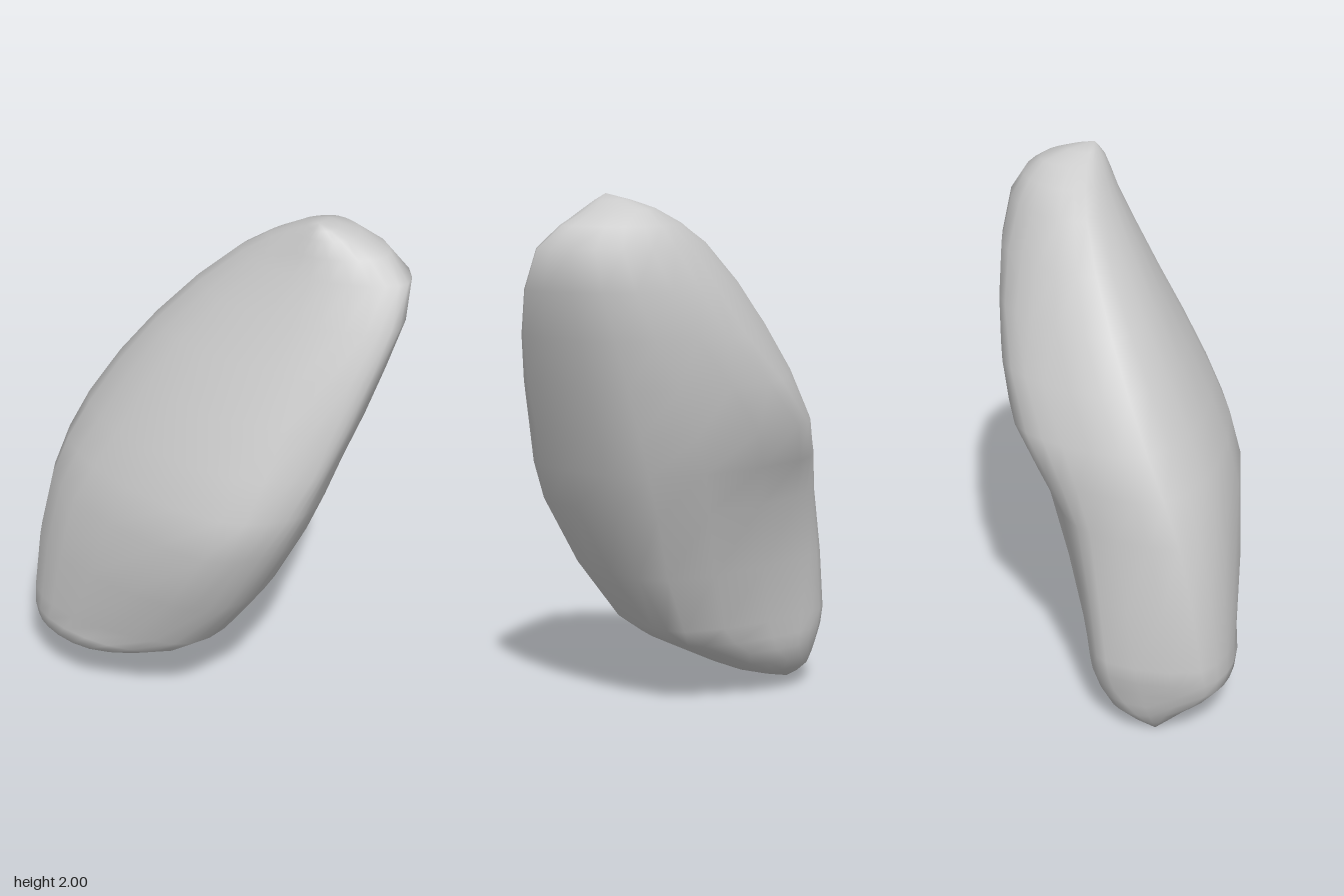
import * as THREE from 'three';

// Cross-sections from bottom to top: height, then eight x,z points
// running from the left side (+x) round the front, right side and back.
const SECTIONS = [
  [0.09, -0.29, -0.07, -0.36, 0.04, -0.50, 0.09, -0.60, 0.07, -0.65, 0.00, -0.61, -0.14, -0.52, -0.205, -0.36, -0.17],
  [0.20, -0.07, 0.02, -0.16, 0.23, -0.40, 0.305, -0.62, 0.22, -0.715, 0.09, -0.58, -0.22, -0.42, -0.26, -0.12, -0.14],
  [0.33, 0.13, 0.08, 0.04, 0.30, -0.20, 0.34, -0.58, 0.25, -0.735, 0.07, -0.58, -0.25, -0.42, -0.275, 0.09, -0.12],
  [0.83, 0.415, 0.27, 0.34, 0.385, 0.15, 0.475, -0.47, 0.25, -0.665, 0.00, -0.48, -0.28, -0.30, -0.34, 0.34, -0.22],
  [1.14, 0.54, 0.21, 0.50, 0.29, 0.24, 0.385, -0.30, 0.20, -0.54, -0.08, -0.36, -0.35, -0.15, -0.475, 0.46, -0.25],
  [1.50, 0.675, 0.12, 0.60, 0.19, 0.32, 0.215, -0.10, 0.08, -0.275, -0.14, -0.05, -0.38, 0.20, -0.445, 0.58, -0.25],
  [1.82, 0.735, -0.02, 0.62, 0.05, 0.40, 0.07, 0.20, 0.00, 0.06, -0.14, 0.14, -0.27, 0.38, -0.35, 0.65, -0.22],
  [1.95, 0.53, -0.06, 0.49, 0.00, 0.40, 0.02, 0.34, -0.01, 0.28, -0.08, 0.31, -0.18, 0.40, -0.23, 0.50, -0.17],
];
const BOTTOM = new THREE.Vector3(-0.585, 0, -0.06);
const TOP = new THREE.Vector3(0.40, 2, -0.02);
const SIDES = 24; // points round each section
const ROWS = (SECTIONS.length + 1) * 2; // steps from bottom to top

// Smooth closed loop through the eight points of a section
function sectionRing([y, ...xz]) {
  const corners = [];
  for (let i = 0; i < xz.length; i += 2) {
    corners.push(new THREE.Vector3(xz[i], y, xz[i + 1]));
  }
  return new THREE.CatmullRomCurve3(corners, true).getPoints(SIDES);
}

// Skin made of smooth ribs that run from the bottom tip to the top tip
function stoneGeometry() {
  const rings = SECTIONS.map(sectionRing);
  const positions = [];
  for (let i = 0; i < SIDES; i++) {
    const rib = new THREE.CatmullRomCurve3([BOTTOM, ...rings.map((ring) => ring[i]), TOP]);
    for (const p of rib.getPoints(ROWS).slice(1, -1)) positions.push(p.x, p.y, p.z);
  }
  const bottom = positions.length / 3, top = bottom + 1;
  positions.push(...BOTTOM.toArray(), ...TOP.toArray());

  const index = [];
  const perRib = ROWS - 1;
  for (let i = 0; i < SIDES; i++) {
    const a = i * perRib;
    const b = ((i + 1) % SIDES) * perRib;
    for (let r = 0; r < perRib - 1; r++) {
      index.push(a + r, a + r + 1, b + r, b + r, a + r + 1, b + r + 1);
    }
    index.push(bottom, a, b, top, b + perRib - 1, a + perRib - 1);
  }

  const geometry = new THREE.BufferGeometry();
  geometry.setAttribute('position', new THREE.Float32BufferAttribute(positions, 3));
  geometry.setIndex(index);
  geometry.computeVertexNormals();
  return geometry;
}

export function createModel() {
  const model = new THREE.Group();
  model.name = 'rock';
  // Leaning boulder, one smooth closed skin
  const stone = new THREE.Mesh(
    stoneGeometry(),
    new THREE.MeshStandardMaterial({ color: 0xcccccc })
  );
  stone.name = 'stone';
  model.add(stone);
  return model;
}
